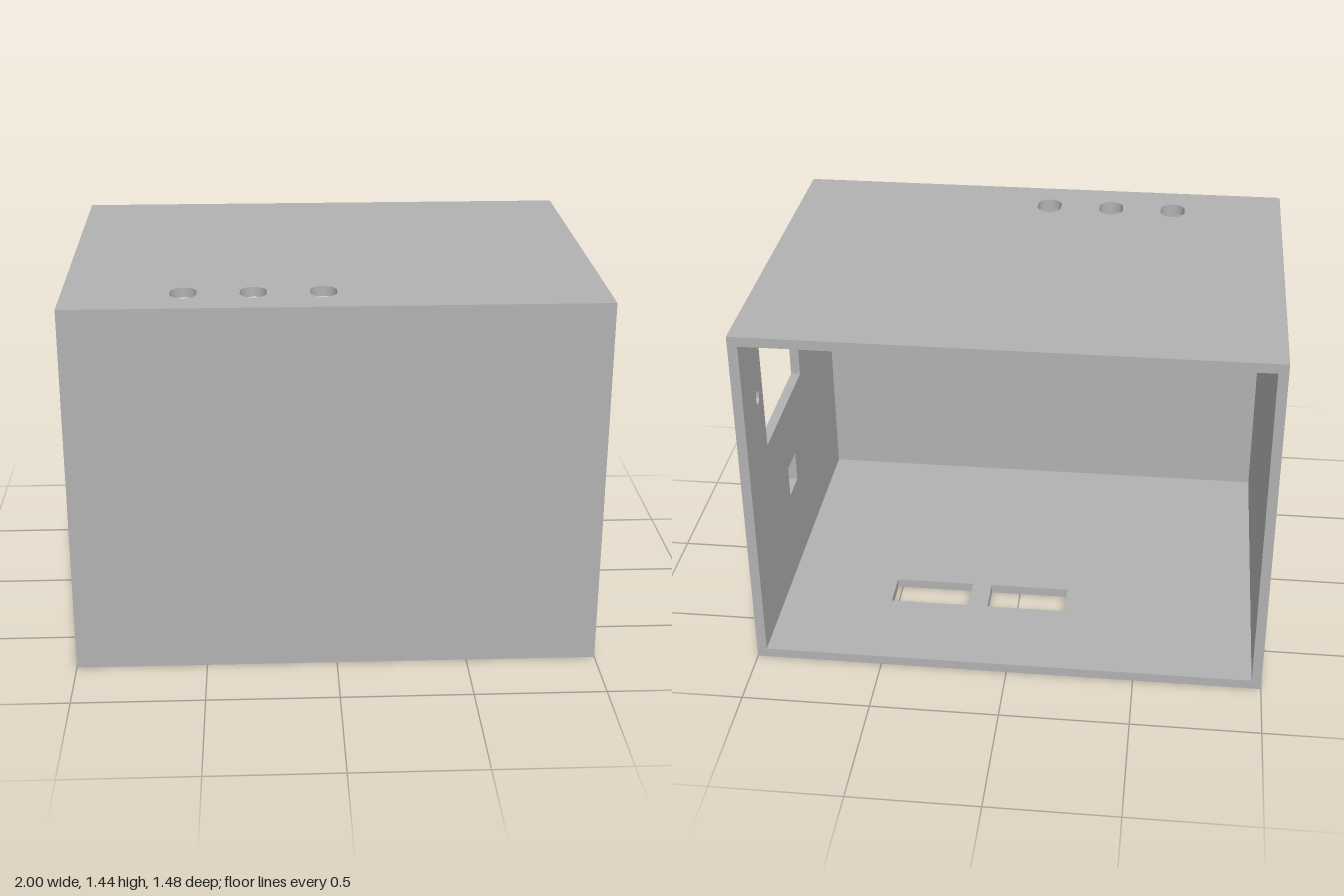
import * as THREE from 'three';

const W = 2, H = 1.44, D = 1.48, T = 0.038; // outer size and wall thickness

const rect = (Type, x0, y0, x1, y1) => new Type([
  new THREE.Vector2(x0, y0), new THREE.Vector2(x1, y0),
  new THREE.Vector2(x1, y1), new THREE.Vector2(x0, y1),
]);
const rectHole = (...c) => rect(THREE.Path, ...c);

// Upright slot with round ends: half width r, half height h
function slotHole(cx, cy, r, h) {
  const p = new THREE.Path();
  p.absarc(cx, cy + h - r, r, 0, Math.PI, false);
  p.absarc(cx, cy - h + r, r, Math.PI, Math.PI * 2, false);
  p.closePath();
  return p;
}

export function createModel() {
  const group = new THREE.Group();
  const grey = new THREE.MeshStandardMaterial({ color: 0xb2b2b2 });
  grey.name = 'grey';

  // Flat panel, T thick, with cut-outs
  function panel(name, w, h, holes = []) {
    const shape = rect(THREE.Shape, -w / 2, -h / 2, w / 2, h / 2);
    shape.holes.push(...holes);
    const geo = new THREE.ExtrudeGeometry(shape, { depth: T, bevelEnabled: false, curveSegments: 16 });
    const mesh = new THREE.Mesh(geo, grey);
    mesh.name = name;
    group.add(mesh);
    return mesh;
  }

  // Floor with two rectangular slots (panel y becomes z)
  const floor = panel('floor', W, D, [
    rectHole(0.2, -0.37, 0.52, -0.22),
    rectHole(-0.2, -0.37, 0.12, -0.22),
  ]);
  floor.rotation.x = Math.PI / 2;
  floor.position.y = T;

  // Top with three button holes near the front
  const top = panel('top', W, D, [-0.555, -0.3, -0.043].map((x) => slotHole(x, 0.556, 0.049, 0.065)));
  top.rotation.x = Math.PI / 2;
  top.position.y = H;

  // Side walls (panel x becomes -z); one has a window, screw holes and a small port
  const mid = H / 2;
  const cutouts = [
    rectHole(-0.108, 0.825 - mid, 0.47, 1.34 - mid),
    rectHole(0.07, 0.417 - mid, 0.2, 0.548 - mid),
    ...[-0.178, 0.543].map((u) => slotHole(u, 1.083 - mid, 0.02, 0.029)),
  ];
  [['windowWall', W / 2 - T, cutouts], ['plainWall', -W / 2, []]].forEach(([name, x, holes]) => {
    const wall = panel(name, D, H - 2 * T, holes);
    wall.rotation.y = Math.PI / 2;
    wall.position.set(x, mid, 0);
  });

  // Closed front; the back stays open
  panel('frontWall', W - 2 * T, H - 2 * T).position.set(0, mid, D / 2 - T);

  return group;
}
